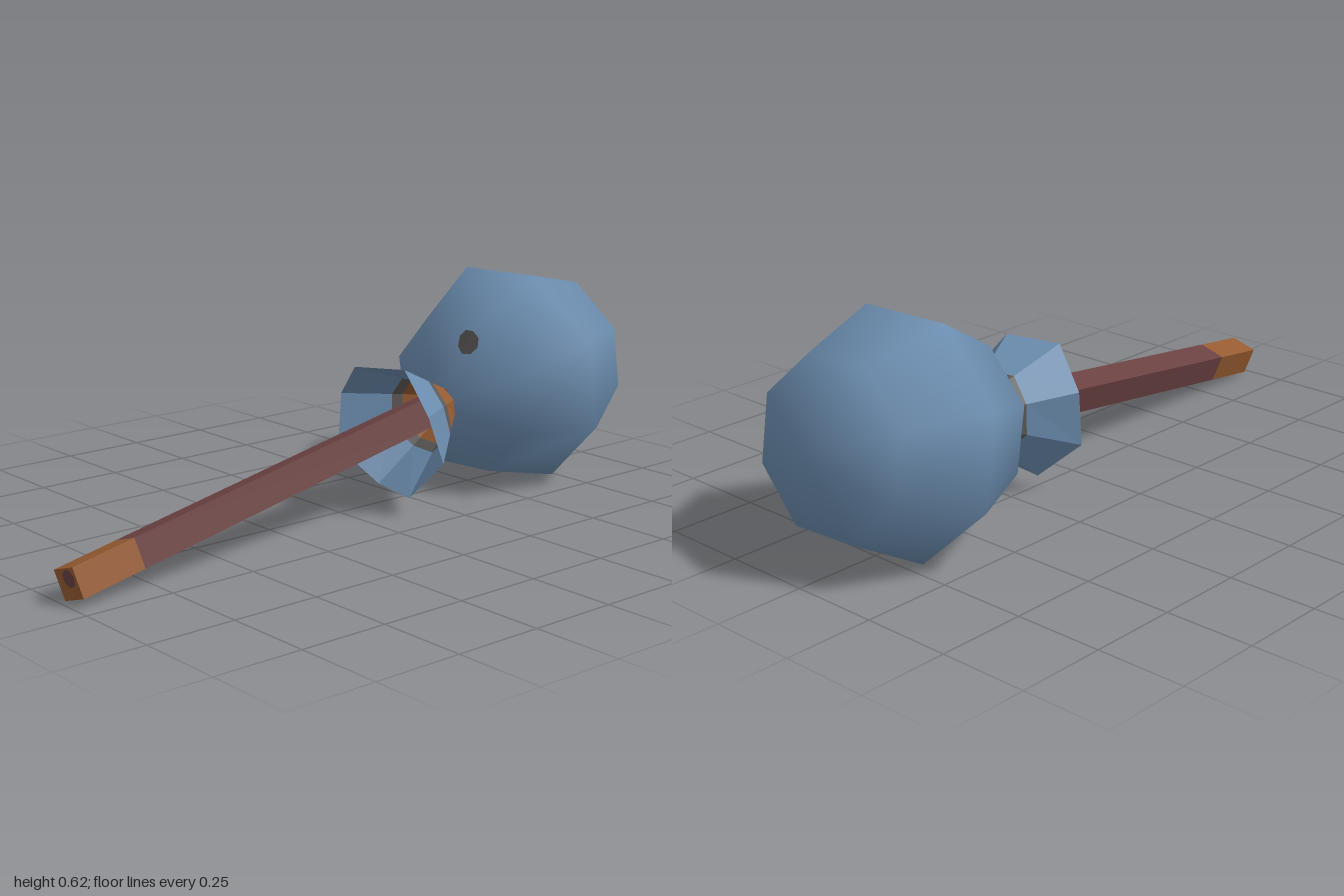
import * as THREE from 'three';

const mat = (name, color, extra = {}) => {
  const m = new THREE.MeshStandardMaterial({ color, ...extra });
  m.name = name;
  return m;
};

export function createModel() {
  const open = { side: THREE.DoubleSide, flatShading: true };
  const blue = mat('steelBlue', 0x6b8cae);
  const blueFlat = mat('flareBlue', 0x6b8cae, open);
  const maroon = mat('darkMaroon', 0x6c4242);
  const brown = mat('copperBrown', 0x965b32, open);
  const grey = mat('darkGrey', 0x5c5b59, open);

  const model = new THREE.Group();
  model.name = 'mace';

  // Local +y runs from the ball's centre to the handle tip
  const axis = new THREE.Group();
  axis.name = 'maceAxis';
  const centre = new THREE.Vector3(0, 0.31, -0.67);
  const yDir = new THREE.Vector3(0.157, 0.053, 0.988).sub(centre).normalize();
  const xDir = new THREE.Vector3(1, 0, 0).addScaledVector(yDir, -yDir.x).normalize();
  const zDir = new THREE.Vector3().crossVectors(xDir, yDir);
  axis.quaternion.setFromRotationMatrix(new THREE.Matrix4().makeBasis(xDir, yDir, zDir));
  axis.position.copy(centre);
  model.add(axis);

  const add = (name, geometry, material, parent = axis) => {
    const mesh = new THREE.Mesh(geometry, material);
    mesh.name = name;
    parent.add(mesh);
    return mesh;
  };

  // Ball head
  const R = 0.336;
  add('ball', new THREE.SphereGeometry(R, 8, 4, Math.PI / 8), blue);

  // Dark spot folded over the ridge between two facets of the ball
  const spot = new THREE.CircleGeometry(0.034, 8);
  const sp = spot.attributes.position;
  const ridge = Math.PI * 3 / 8, ringR = R * Math.SQRT1_2;
  for (let i = 0; i < sp.count; i++) {
    const u = 0.195 + sp.getX(i), v = sp.getY(i);
    const r = Math.hypot(u, v), a = Math.abs(Math.atan2(v, u));
    const rho = r * Math.cos(Math.PI / 8 - a);
    const h = R - (R - ringR) * rho / (ringR * Math.cos(Math.PI / 8)) + 0.003;
    const t = ridge + Math.atan2(v, u);
    sp.setXYZ(i, r * Math.cos(t), h, -r * Math.sin(t));
  }
  spot.computeVertexNormals();
  add('ballSpot', spot, grey);

  // Flared collar: eight sides with a zigzag rim, split into colour bands
  const collarPoint = (k, f) => {
    const a = Math.PI / 8 + k * Math.PI / 4;
    const rimY = k % 2 ? 0.528 : 0.567;
    const r = THREE.MathUtils.lerp(0.055, 0.199, f);
    return [r * Math.cos(a), THREE.MathUtils.lerp(0.315, rimY, f), -r * Math.sin(a)];
  };
  const collarBand = (name, f0, f1, material) => {
    const pos = [];
    for (let k = 0; k < 8; k++) {
      const n = (k + 1) % 8;
      const a = collarPoint(k, f0), b = collarPoint(n, f0);
      const c = collarPoint(n, f1), d = collarPoint(k, f1);
      pos.push(...a, ...b, ...c, ...a, ...c, ...d);
    }
    const g = new THREE.BufferGeometry();
    g.setAttribute('position', new THREE.Float32BufferAttribute(pos, 3));
    g.computeVertexNormals();
    add(name, g, material);
  };
  collarBand('collarBase', 0, 0.29, brown);
  collarBand('collarStripe', 0.29, 0.41, grey);
  collarBand('collarFlare', 0.41, 1, blueFlat);

  // Square handle, rolled about its axis, with a brown tip
  const handle = new THREE.Group();
  handle.name = 'handle';
  handle.rotation.y = 0.3;
  axis.add(handle);
  const bar = (name, y0, y1, material) => {
    const g = new THREE.BoxGeometry(0.082, y1 - y0, 0.082);
    add(name, g, material, handle).position.y = (y0 + y1) / 2;
  };
  const tipY = 1.685, tipStart = 1.49;
  bar('shaft', 0.3, tipStart, maroon);
  bar('handleTip', tipStart, tipY, brown);

  // Dark patch on the end face
  const patch = add('tipPatch', new THREE.CircleGeometry(0.025, 7).rotateX(-Math.PI / 2), maroon, handle);
  patch.position.set(0.012, tipY + 0.002, -0.014);

  return model;
}
